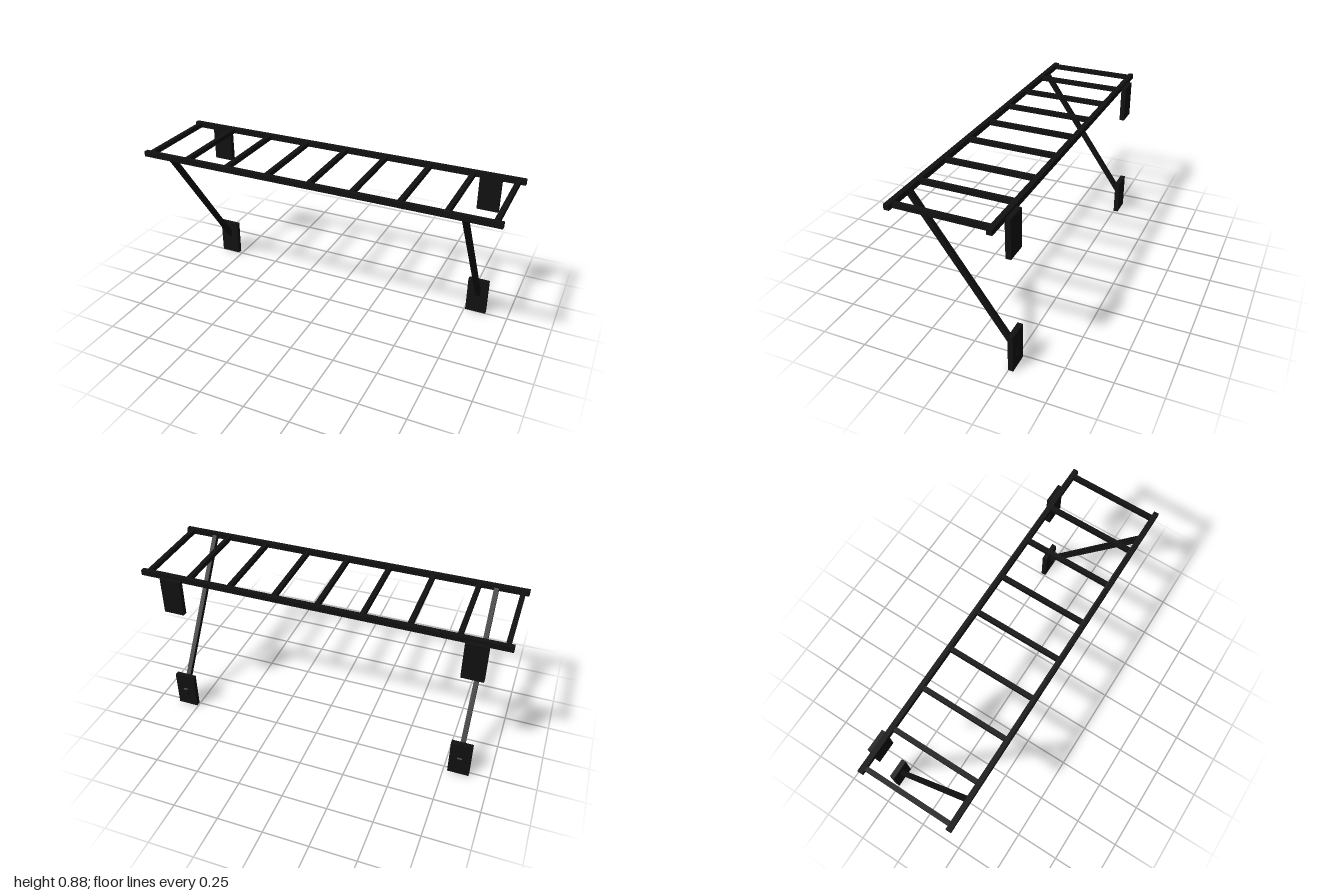
import * as THREE from 'three';

export function createModel() {
  const group = new THREE.Group();
  const material = new THREE.MeshStandardMaterial({ color: 0x111111 });

  function add(name, geometry, x, y, z) {
    const mesh = new THREE.Mesh(geometry, material);
    mesh.name = name;
    mesh.position.set(x, y, z);
    group.add(mesh);
  }

  const topY = 0.868, frontZ = 0.268, backZ = -0.238;

  // Long rails of the overhead ladder
  const rail = new THREE.BoxGeometry(2, 0.029, 0.028);
  add('frontRail', rail, 0, topY, frontZ);
  add('backRail', rail, 0, topY, backZ);

  // Rungs between the rails
  const rung = new THREE.BoxGeometry(0.025, 0.025, frontZ - backZ);
  for (const x of [-0.968, -0.738, -0.49, -0.246, -0.003, 0.235, 0.489, 0.727, 0.963]) {
    add('rung', rung, x, topY, (frontZ + backZ) / 2);
  }

  // Diagonal brace: side profile in (z, y), cut upright where it meets the wall
  const braceWidth = 0.026;
  const profile = new THREE.Shape([
    new THREE.Vector2(-0.281, 0.063),
    new THREE.Vector2(0.275, 0.854),
    new THREE.Vector2(0.253, 0.870),
    new THREE.Vector2(-0.281, 0.110),
  ]);
  const brace = new THREE.ExtrudeGeometry(profile, { depth: braceWidth, bevelEnabled: false });
  brace.translate(0, 0, -braceWidth / 2);
  brace.rotateY(-Math.PI / 2);

  // Wall plates above and below, one pair per brace
  const plate = new THREE.BoxGeometry(0.117, 0.209, 0.028);
  for (const [side, x] of [['right', -0.829], ['left', 0.819]]) {
    add(side + 'Brace', brace, x, 0, 0);
    add(side + 'LowerWallPlate', plate, x - Math.sign(x) * 0.001 - 0.003, 0.1045, -0.262);
    add(side + 'UpperWallPlate', plate, x - Math.sign(x) * 0.001 - 0.003, 0.763, -0.262);
  }

  return group;
}
